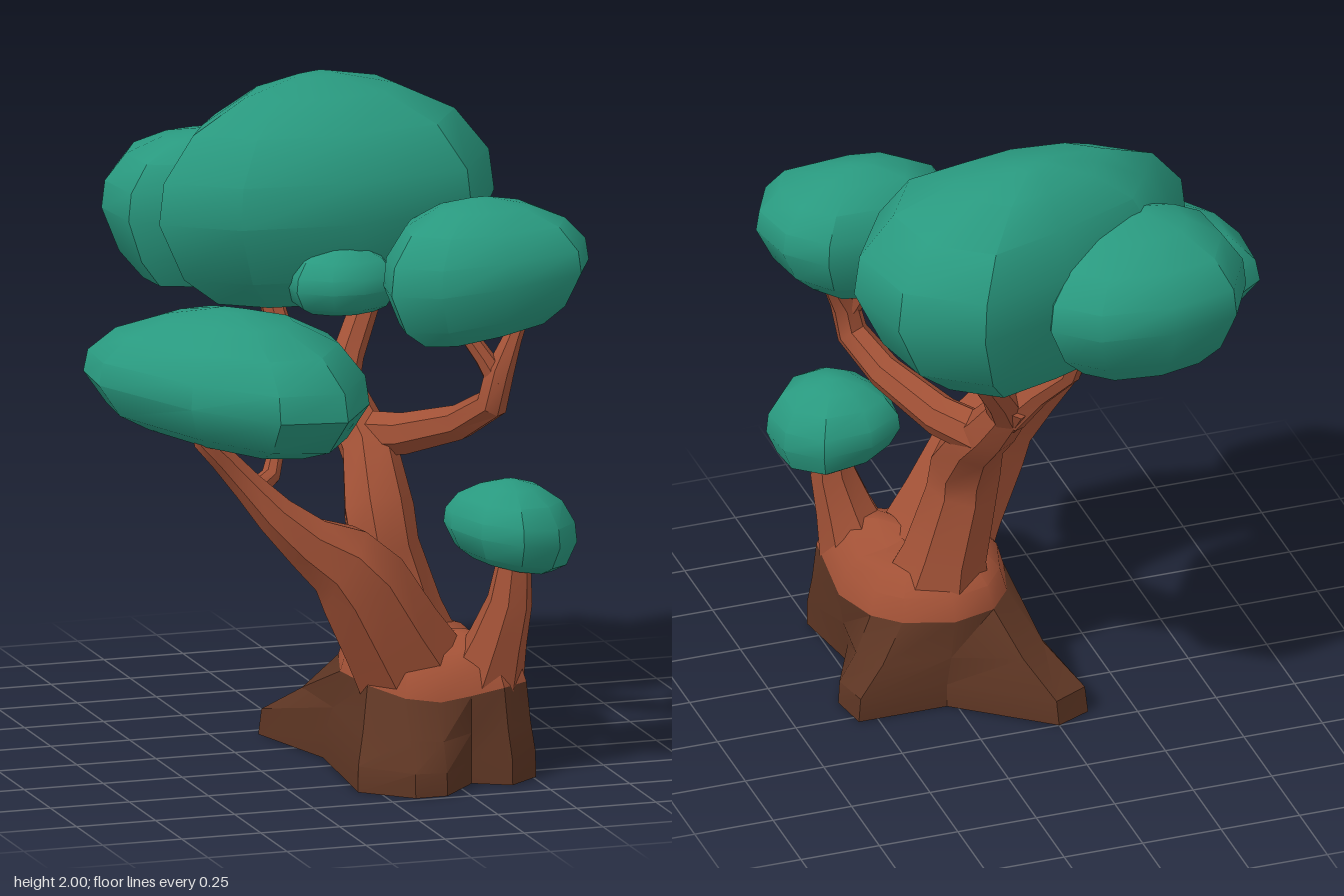
import * as THREE from 'three';
import { toCreasedNormals } from 'three/addons/utils/BufferGeometryUtils.js';

const V = (x, y, z) => new THREE.Vector3(x, y, z);
const leaf = new THREE.MeshStandardMaterial({ color: 0x29997f });
leaf.name = 'leaf green';
const bark = new THREE.MeshStandardMaterial({ color: 0xa15136, side: THREE.DoubleSide });
bark.name = 'bark brown';
const root = new THREE.MeshStandardMaterial({ color: 0x5d3523, side: THREE.DoubleSide });
root.name = 'root brown';

// Skin over matching rings of points; each end may be closed by a fan
function loft(rings, crease, capStart = true, capEnd = true) {
  const n = rings[0].length, pos = [], index = [];
  rings.forEach(r => r.forEach(p => pos.push(p.x, p.y, p.z)));
  for (let i = 0; i < rings.length - 1; i++) {
    for (let j = 0; j < n; j++) {
      const a = i * n + j, b = i * n + (j + 1) % n;
      index.push(a, b, b + n, a, b + n, a + n);
    }
  }
  const cap = (ring, flip) => {
    const c = V(0, 0, 0), start = ring * n, k = pos.length / 3;
    rings[ring].forEach(p => c.addScaledVector(p, 1 / n));
    pos.push(c.x, c.y, c.z);
    for (let j = 0; j < n; j++) {
      const a = start + j, b = start + (j + 1) % n;
      index.push(...(flip ? [k, b, a] : [k, a, b]));
    }
  };
  if (capStart) cap(0, true);
  if (capEnd) cap(rings.length - 1, false);
  const g = new THREE.BufferGeometry();
  g.setAttribute('position', new THREE.Float32BufferAttribute(pos, 3));
  g.setIndex(index);
  return toCreasedNormals(g, crease);
}

// Tapered limb along points given as [x, y, z, radius]
function limb(points, sides = 7) {
  const p = points.map(q => V(q[0], q[1], q[2]));
  const u = V(1, 0, 0.2);
  const rings = p.map((c, i) => {
    const t = p[Math.min(i + 1, p.length - 1)].clone().sub(p[Math.max(i - 1, 0)]).normalize();
    u.addScaledVector(t, -u.dot(t)).normalize();
    const v = t.clone().cross(u);
    return Array.from({ length: sides }, (_, j) => {
      const a = j / sides * Math.PI * 2, r = points[i][3];
      return c.clone().addScaledVector(u, Math.cos(a) * r).addScaledVector(v, Math.sin(a) * r);
    });
  });
  return loft(rings, 0.7, false, true);
}

// Leaf dome: plan outline scaled by a profile of [height fraction, scale].
// A belly below 1 raises the widest level; slopes tilt the underside; lean shifts the narrow ends in z.
const DOME = [[0, 0.62], [0.1, 0.84], [0.36, 1], [0.56, 0.97], [0.78, 0.78], [0.93, 0.45], [1, 0.12]];
function canopy(plan, y0, y1, { belly = 1, slopeX = 0, slopeZ = 0, lean = 0 } = {}) {
  let cx = 0, cz = 0;
  plan.forEach(([x, z]) => { cx += x / plan.length; cz += z / plan.length; });
  const rings = DOME.map(([h, s]) => plan.map(([x, z]) => {
    const f = h ** belly, dx = (x - cx) * s, dz = (z - cz) * s;
    return V(cx + dx, y0 + (y1 - y0) * f + (1 - f) * (slopeX * dx + slopeZ * dz), cz + dz + lean * (1 - s));
  }));
  return loft(rings, 0.65);
}

export function createModel() {
  const tree = new THREE.Group();
  tree.name = 'tree';
  const add = (name, geometry, material) => {
    const m = new THREE.Mesh(geometry, material);
    m.name = name;
    tree.add(m);
  };

  // Hollow root flare: ground outline blending into the trunk outline [x, z, height]
  const ground = [[0.08, 0.73], [0.18, 0.73], [0.3, 0.6], [0.41, 0.66], [0.51, 0.58], [0.47, 0.32],
    [0.58, 0.1], [0.56, -0.03], [0.28, -0.03], [0, -0.25], [-0.11, -0.2], [-0.02, 0.15], [-0.06, 0.6]];
  const neck = [[0.1, 0.57, 0.27], [0.2, 0.61, 0.26], [0.3, 0.6, 0.27], [0.4, 0.61, 0.29], [0.49, 0.55, 0.29],
    [0.5, 0.32, 0.24], [0.47, 0.12, 0.27], [0.4, 0.03, 0.28], [0.25, -0.02, 0.28], [0.12, 0, 0.29],
    [0.05, 0.08, 0.3], [0, 0.25, 0.29], [0.02, 0.45, 0.29]];
  const blend = (h, k) => ground.map(([x, z], i) =>
    V(x + (neck[i][0] - x) * k, neck[i][2] * h, z + (neck[i][1] - z) * k));
  add('roots', loft([blend(0, 0), blend(0.27, 0.04), blend(0.58, 0.55), blend(1, 1)], 0.6, false, false), root);

  // Short bole above the roots
  const bole = (up, s) => neck.map(([x, z, y]) => V(0.25 + (x - 0.25) * s, y + up, 0.3 + (z - 0.3) * s));
  add('bole', loft([bole(0, 1), bole(0.07, 0.92), bole(0.12, 0.72), bole(0.14, 0.4)], 0.7, false, true), bark);

  // Limbs and twigs
  const limbs = {
    mainTrunk: [[0.24, 0.31, 0.17, 0.17], [0.22, 0.44, 0.15, 0.13], [0.17, 0.64, 0.145, 0.11],
      [0.16, 0.75, 0.125, 0.11], [0.18, 0.9, -0.02, 0.088], [0.16, 0.98, -0.1, 0.078], [0.12, 1.12, -0.2, 0.06]],
    trunkForkLeft: [[0.13, 1.06, -0.17, 0.06], [0.06, 1.15, -0.22, 0.045], [-0.02, 1.23, -0.27, 0.04], [-0.06, 1.42, -0.33, 0.035]],
    trunkForkRight: [[0.13, 1.05, -0.16, 0.06], [0.18, 1.15, -0.22, 0.05], [0.26, 1.28, -0.3, 0.045], [0.32, 1.42, -0.36, 0.04]],
    rightBranch: [[0.17, 0.94, -0.08, 0.07], [0.27, 0.96, 0.06, 0.065], [0.38, 1.03, 0.25, 0.055],
      [0.44, 1.11, 0.37, 0.05], [0.46, 1.21, 0.38, 0.045], [0.51, 1.3, 0.35, 0.03], [0.56, 1.4, 0.32, 0.025]],
    rightTwig: [[0.46, 1.18, 0.38, 0.04], [0.42, 1.25, 0.36, 0.03], [0.35, 1.36, 0.32, 0.025]],
    leftLimb: [[0.18, 0.31, 0.38, 0.18], [0.1, 0.44, 0.41, 0.16], [0, 0.61, 0.44, 0.145],
      [-0.07, 0.69, 0.45, 0.12], [-0.17, 0.75, 0.45, 0.085], [-0.27, 0.84, 0.44, 0.063],
      [-0.35, 0.93, 0.42, 0.048], [-0.43, 1.02, 0.42, 0.04], [-0.49, 1.08, 0.43, 0.035], [-0.5, 1.17, 0.43, 0.03]],
    leftTwig: [[-0.34, 0.9, 0.42, 0.035], [-0.26, 0.94, 0.37, 0.03], [-0.23, 1, 0.33, 0.025], [-0.21, 1.12, 0.3, 0.025]],
    stub: [[0.38, 0.3, 0.49, 0.12], [0.41, 0.42, 0.52, 0.09], [0.44, 0.54, 0.54, 0.07], [0.455, 0.68, 0.54, 0.05]],
  };
  for (const [name, pts] of Object.entries(limbs)) add(name, limb(pts), bark);

  // Canopies
  add('crownCanopy', canopy([[-0.24, 0.03], [0.13, 0.07], [0.5, 0], [0.65, -0.24], [0.6, -0.5],
    [0.38, -0.66], [0.08, -0.57], [-0.26, -0.43], [-0.36, -0.28], [-0.45, -0.12]], 1.34, 2,
  { belly: 0.85, lean: -0.04 }), leaf);
  add('backCanopy', canopy([[-0.48, -0.32], [-0.25, -0.22], [0.08, -0.3], [0.15, -0.6], [0.03, -0.71],
    [-0.2, -0.74], [-0.41, -0.69], [-0.5, -0.52]], 1.37, 1.83, { belly: 0.75, lean: 0.12 }), leaf);
  add('leftCanopy', canopy([[-0.57, 0.55], [-0.35, 0.74], [-0.13, 0.72], [0.01, 0.5], [0.02, 0.33],
    [-0.18, 0.13], [-0.38, -0.07], [-0.6, -0.04], [-0.75, 0.06], [-0.76, 0.24]], 1.06, 1.45,
  { slopeX: -0.1, slopeZ: -0.04 }), leaf);
  add('rightCanopy', canopy([[0.12, 0.38], [0.24, 0.5], [0.45, 0.53], [0.68, 0.5], [0.75, 0.36],
    [0.72, 0.2], [0.61, 0.1], [0.38, 0.11], [0.2, 0.13], [0.14, 0.24]], 1.33, 1.73,
  { belly: 0.85, slopeX: 0.18 }), leaf);
  add('lowCanopy', canopy([[0.28, 0.46], [0.33, 0.6], [0.44, 0.68], [0.56, 0.66], [0.65, 0.55],
    [0.64, 0.42], [0.55, 0.31], [0.4, 0.3], [0.29, 0.36]], 0.64, 0.9, { slopeX: -0.2 }), leaf);
  add('innerCanopy', canopy([[-0.07, 0.05], [0.02, 0.12], [0.12, 0.13], [0.23, 0.09], [0.26, -0.05],
    [0.18, -0.24], [0, -0.24], [-0.07, -0.1]], 1.34, 1.55), leaf);

  return tree;
}
